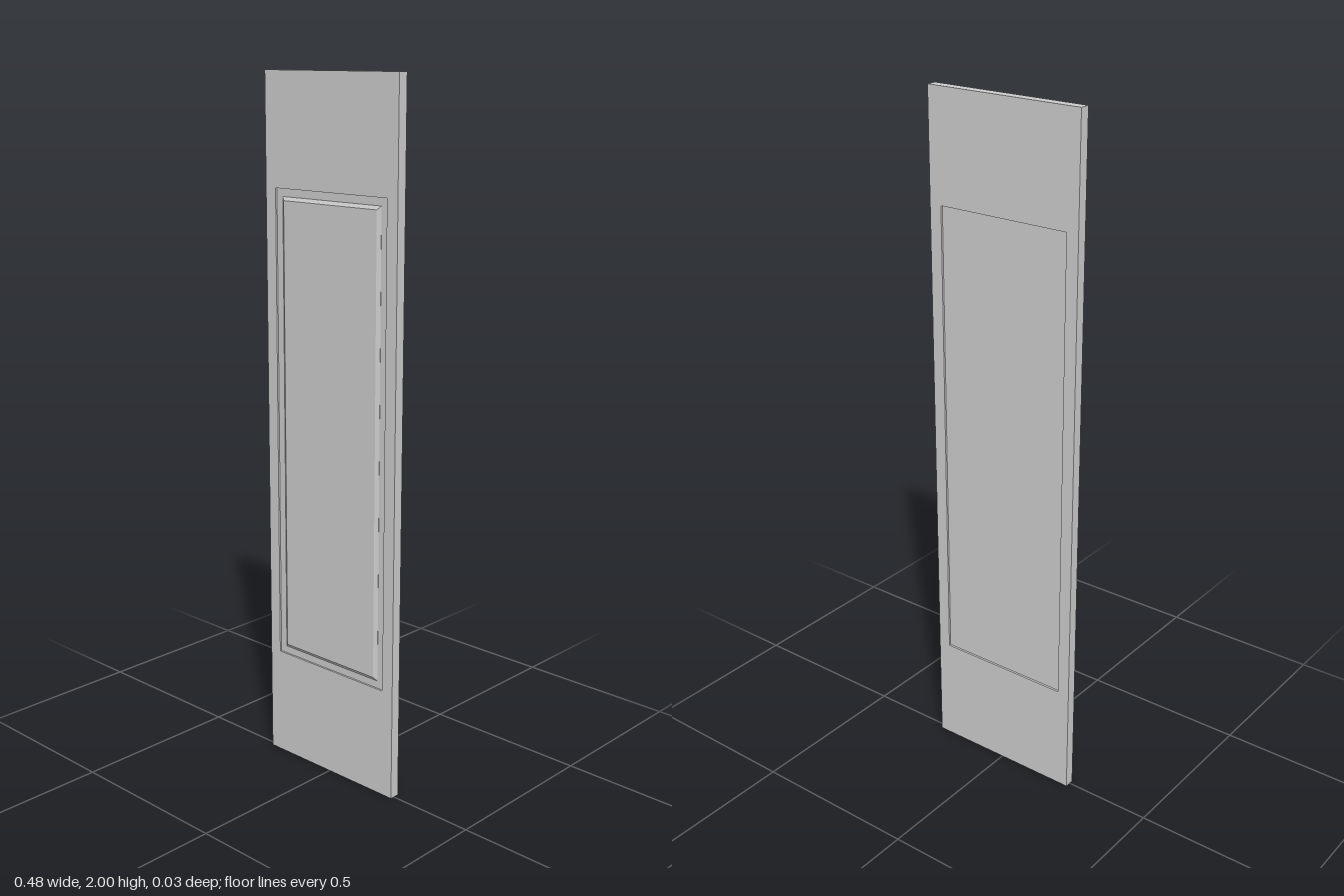
import * as THREE from 'three';

const W = 0.24, H = 2;                       // half width and height of the door
const OX = 0.203, OY0 = 0.32, OY1 = 1.687;   // opening in the frame
const BACK = -0.017, FRONT = 0.0125;         // faces of the frame
const material = new THREE.MeshStandardMaterial({ color: 0xcccccc, flatShading: true });

function rect(Type, x, y0, y1) {
  return new Type([[-x, y0], [x, y0], [x, y1], [-x, y1]].map(([a, b]) => new THREE.Vector2(a, b)));
}

function add(group, name, geometry, z) {
  const mesh = new THREE.Mesh(geometry, material);
  mesh.name = name;
  mesh.position.z = z;
  group.add(mesh);
}

export function createModel() {
  const door = new THREE.Group();
  door.name = 'panelDoor';

  // Flat frame around one tall opening
  const frame = rect(THREE.Shape, W, 0, H);
  frame.holes.push(rect(THREE.Path, OX, OY0, OY1));
  add(door, 'frame', new THREE.ExtrudeGeometry(frame, { depth: FRONT - BACK, bevelEnabled: false }), BACK);

  // Thin sheet set back from both faces of the frame
  const sheet = rect(THREE.Shape, OX, OY0, OY1);
  add(door, 'recessedPanel', new THREE.ExtrudeGeometry(sheet, { depth: 0.018, bevelEnabled: false }), -0.011);

  // Raised field with a bevelled border, standing just proud of the frame
  const field = rect(THREE.Shape, 0.17, 0.352, 1.655);
  add(door, 'raisedField', new THREE.ExtrudeGeometry(field, {
    depth: 0.001, bevelThickness: 0.007, bevelSize: 0.01, bevelSegments: 1,
  }), 0.0065);

  return door;
}
